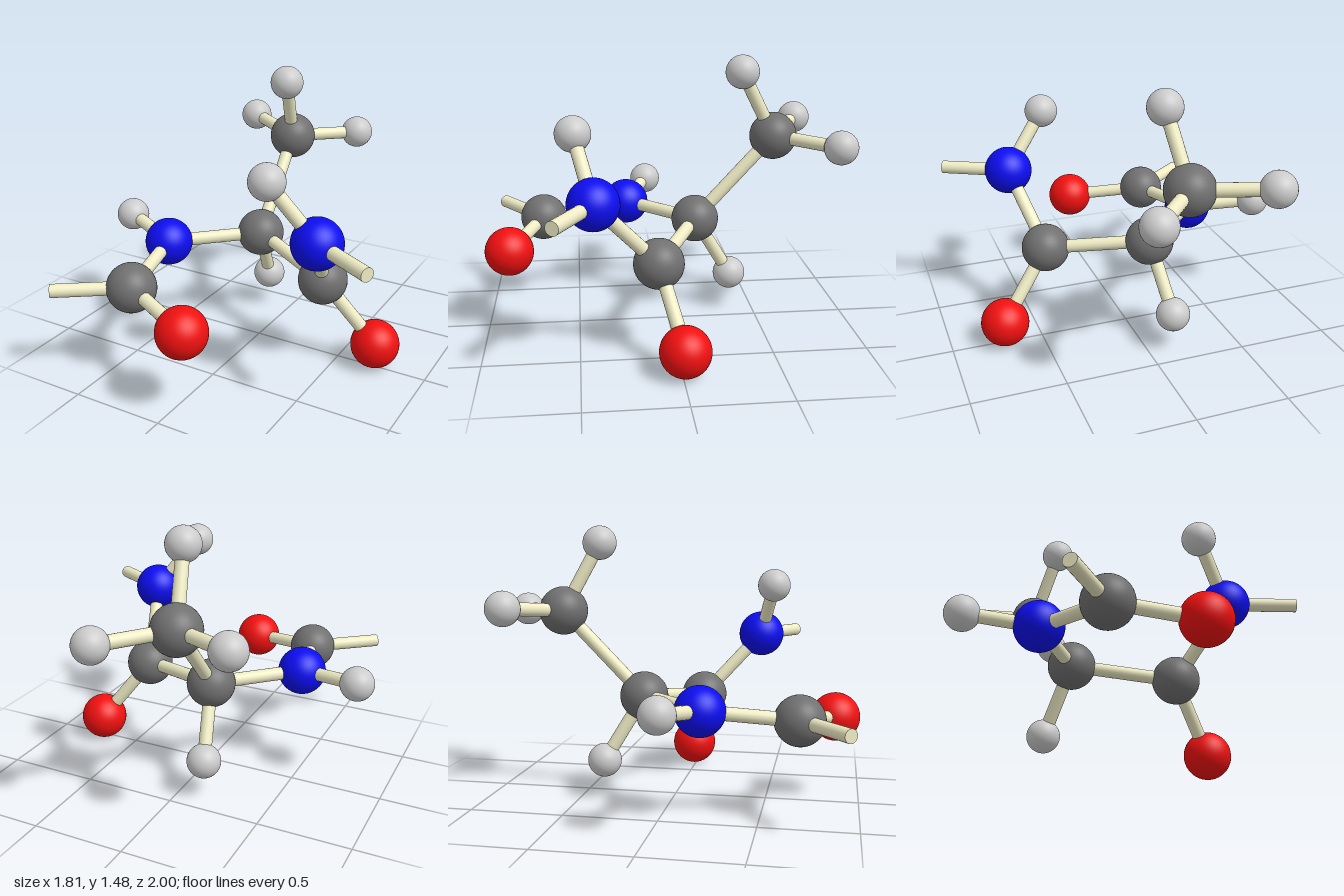
import * as THREE from 'three';

const BIG = 0.131, SMALL = 0.092, BOND = 0.036;

// kind: [radius, color]
const KINDS = {
  carbon: [BIG, 0x707070],
  nitrogen: [BIG, 0x0d0df0],
  oxygen: [BIG, 0xf01010],
  hydrogen: [SMALL, 0xbcbcbc],
};

// name: [kind, x, y, z]
const ATOMS = {
  alphaCarbon: ['carbon', -0.08, 0.565, -0.16],
  alphaHydrogen: ['hydrogen', -0.138, 0.21, -0.37],
  methylCarbon: ['carbon', -0.11, 1.025, -0.6],
  methylHydrogenTop: ['hydrogen', -0.053, 1.39, -0.41],
  methylHydrogenRight: ['hydrogen', -0.473, 1.058, -0.805],
  methylHydrogenLeft: ['hydrogen', 0.173, 1.01, -0.908],
  rightNitrogen: ['nitrogen', -0.463, 0.565, 0.208],
  rightHydrogen: ['hydrogen', -0.817, 0.611, 0.066],
  rightCarbon: ['carbon', -0.356, 0.515, 0.695],
  rightOxygen: ['oxygen', 0.068, 0.458, 0.867],
  leftCarbon: ['carbon', 0.437, 0.495, 0.092],
  leftOxygen: ['oxygen', 0.707, 0.133, -0.013],
  leftNitrogen: ['nitrogen', 0.553, 0.851, 0.418],
  leftHydrogen: ['hydrogen', 0.328, 1.15, 0.507],
};

const BONDS = [
  ['alphaCarbon', 'alphaHydrogen'],
  ['alphaCarbon', 'methylCarbon'],
  ['methylCarbon', 'methylHydrogenTop'],
  ['methylCarbon', 'methylHydrogenRight'],
  ['methylCarbon', 'methylHydrogenLeft'],
  ['alphaCarbon', 'rightNitrogen'],
  ['rightNitrogen', 'rightHydrogen'],
  ['rightNitrogen', 'rightCarbon'],
  ['rightCarbon', 'rightOxygen'],
  ['alphaCarbon', 'leftCarbon'],
  ['leftCarbon', 'leftOxygen'],
  ['leftCarbon', 'leftNitrogen'],
  ['leftNitrogen', 'leftHydrogen'],
];

// open bonds that end in the air: [atom, end point]
const STUBS = [
  ['rightCarbon', [-0.685, 0.521, 0.94]],
  ['leftNitrogen', [0.888, 0.847, 0.606]],
];

export function createModel() {
  const model = new THREE.Group();
  const at = (name) => new THREE.Vector3(...ATOMS[name].slice(1));

  // atoms
  const parts = {};
  for (const [kind, [radius, color]] of Object.entries(KINDS)) {
    parts[kind] = {
      geometry: new THREE.SphereGeometry(radius, 40, 24),
      material: new THREE.MeshStandardMaterial({ color }),
    };
  }
  for (const [name, [kind]] of Object.entries(ATOMS)) {
    const atom = new THREE.Mesh(parts[kind].geometry, parts[kind].material);
    atom.name = name;
    atom.position.copy(at(name));
    model.add(atom);
  }

  // bonds: rods running from centre to centre
  const bondMaterial = new THREE.MeshStandardMaterial({ color: 0xeeebc4 });
  const up = new THREE.Vector3(0, 1, 0);
  function addBond(name, from, to) {
    const axis = to.clone().sub(from);
    const rod = new THREE.Mesh(new THREE.CylinderGeometry(BOND, BOND, axis.length(), 20), bondMaterial);
    rod.name = name;
    rod.position.copy(from).add(to).multiplyScalar(0.5);
    rod.quaternion.setFromUnitVectors(up, axis.normalize());
    model.add(rod);
  }
  for (const [a, b] of BONDS) addBond(`bond ${a} to ${b}`, at(a), at(b));
  for (const [a, end] of STUBS) addBond(`open bond ${a}`, at(a), new THREE.Vector3(...end));

  return model;
}
